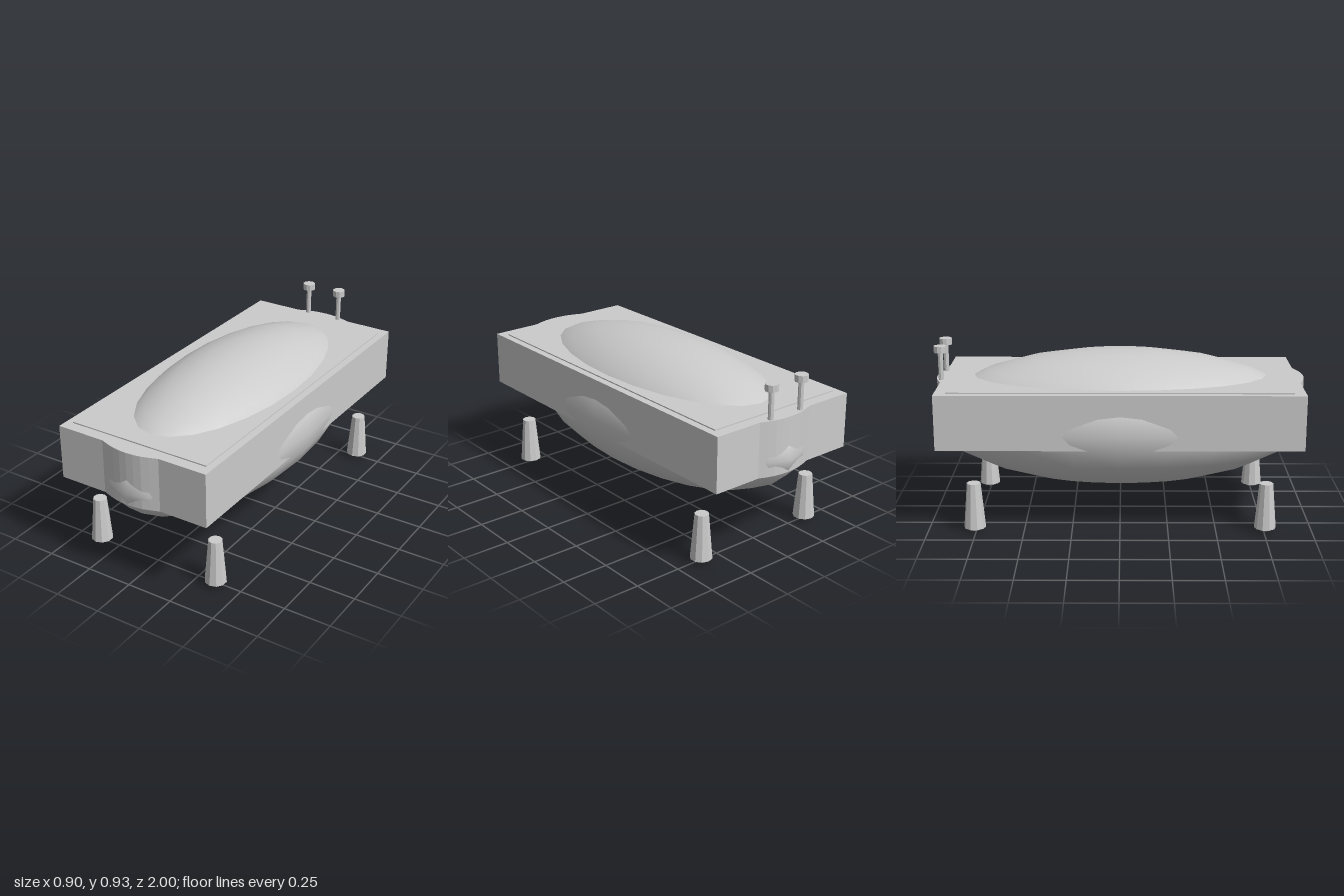
import * as THREE from 'three';

const smooth = new THREE.MeshStandardMaterial({ color: 0xcccccc });
const faceted = new THREE.MeshStandardMaterial({ color: 0xcccccc, flatShading: true });

function add(parent, name, geometry, material, x = 0, y = 0, z = 0) {
  const mesh = new THREE.Mesh(geometry, material);
  mesh.name = name;
  mesh.position.set(x, y, z);
  parent.add(mesh);
  return mesh;
}

// Box outline with a shallow swell in the middle of each end
function deckGeometry(halfX, halfZ, height) {
  const swell = [[0.165, 0], [0.12, 0.016], [0.08, 0.028], [0.04, 0.034], [0, 0.036],
    [-0.04, 0.034], [-0.08, 0.028], [-0.12, 0.016], [-0.165, 0]];
  const end = [[halfX, 0], ...swell, [-halfX, 0]].map(([x, d]) => new THREE.Vector2(x, halfZ + d));
  const outline = [...end, ...end.map((p) => new THREE.Vector2(-p.x, -p.y))];
  const geometry = new THREE.ExtrudeGeometry(new THREE.Shape(outline), { depth: height, bevelEnabled: false });
  return geometry.rotateX(-Math.PI / 2);
}

function createLeg(x, z) {
  const leg = new THREE.Group();
  leg.name = 'leg';
  leg.position.set(x, 0, z);
  add(leg, 'legPost', new THREE.CylinderGeometry(0.036, 0.057, 0.242, 10), faceted, 0, 0.141, 0);
  add(leg, 'footPad', new THREE.SphereGeometry(0.042, 12, 8), smooth, 0, 0.02, 0).scale.y = 0.45;
  return leg;
}

function createTap(x) {
  const tap = new THREE.Group();
  tap.name = 'tap';
  tap.position.set(x, 0, -0.942);
  add(tap, 'tapStem', new THREE.CylinderGeometry(0.014, 0.014, 0.16, 8), faceted, 0, 0.815, 0);
  add(tap, 'tapHead', new THREE.CylinderGeometry(0.034, 0.034, 0.035, 10), faceted, 0, 0.911, 0);
  return tap;
}

export function createModel() {
  const model = new THREE.Group();
  model.name = 'tub';

  // Long rounded hull passing through the deck
  add(model, 'hull', new THREE.SphereGeometry(1, 24, 12), smooth, 0, 0.53, 0).scale.set(0.452, 0.363, 1);

  // Deck surround and its thin top panel
  add(model, 'deck', deckGeometry(0.43, 0.94, 0.29), smooth, 0, 0.457, 0);
  add(model, 'topPanel', new THREE.BoxGeometry(0.784, 0.01, 1.76), smooth, 0, 0.748, 0);

  for (const side of [-1, 1]) {
    model.add(createTap(side * 0.098));
    for (const end of [-1, 1]) model.add(createLeg(side * 0.357, end * 0.757));
  }
  return model;
}
